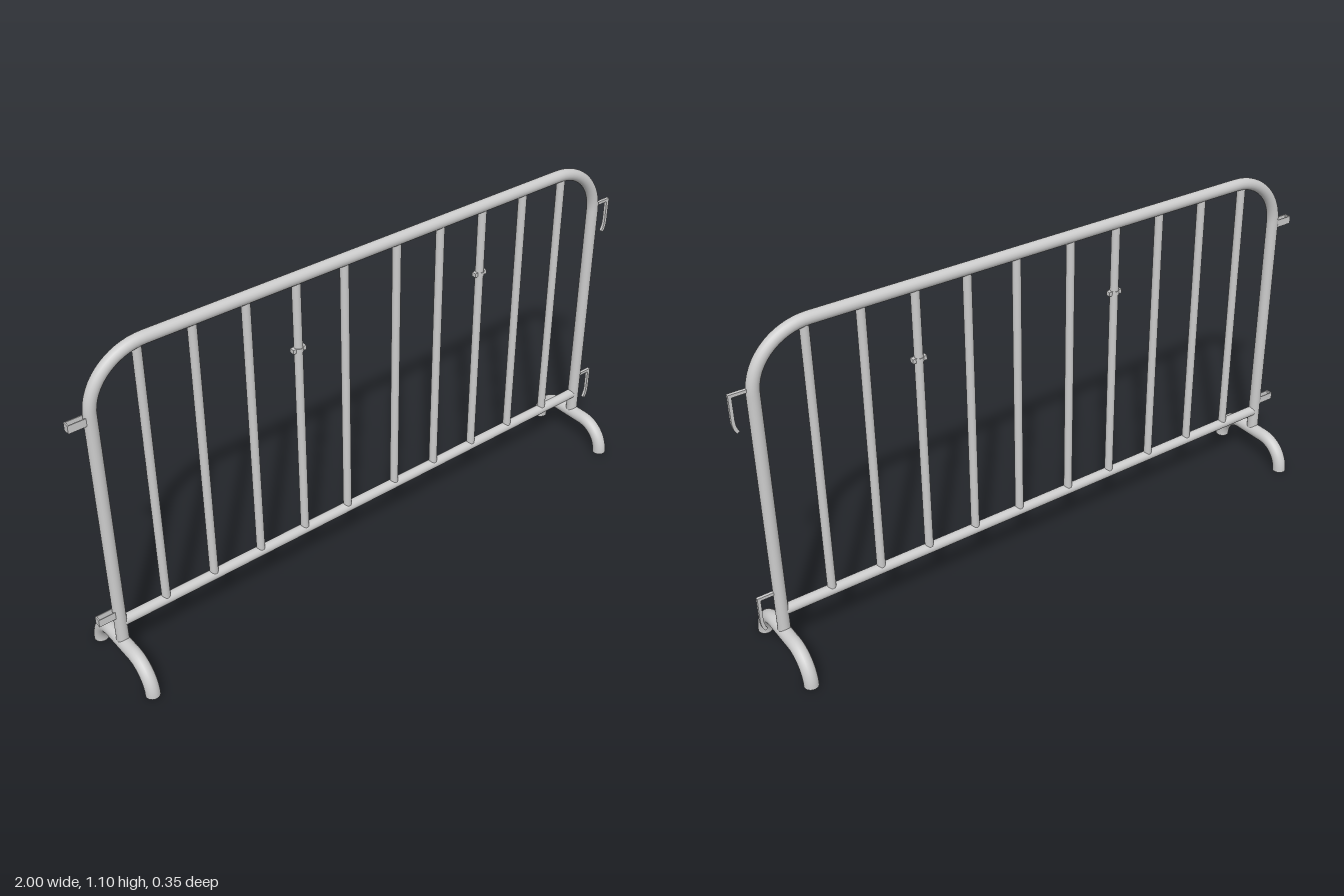
import * as THREE from 'three';

const material = new THREE.MeshStandardMaterial({ color: 0xcccccc });
const openMaterial = new THREE.MeshStandardMaterial({ color: 0xcccccc, side: THREE.DoubleSide });
const POST_X = 0.93;

function add(parent, name, geometry, x = 0, y = 0, z = 0, mat = material) {
  const mesh = new THREE.Mesh(geometry, mat);
  mesh.name = name;
  mesh.position.set(x, y, z);
  parent.add(mesh);
  return mesh;
}

// Inverted U path with rounded corners, in the XY plane
function archPath(half, bottom, top, cornerX, cornerY) {
  const v = (x, y) => new THREE.Vector3(x, y, 0);
  const k = 1 - 0.5523;
  const path = new THREE.CurvePath();
  const inner = half - cornerX, shoulder = top - cornerY;
  if (shoulder > bottom) path.add(new THREE.LineCurve3(v(-half, bottom), v(-half, shoulder)));
  path.add(new THREE.CubicBezierCurve3(v(-half, shoulder), v(-half, top - cornerY * k),
    v(-half + cornerX * k, top), v(-inner, top)));
  path.add(new THREE.LineCurve3(v(-inner, top), v(inner, top)));
  path.add(new THREE.CubicBezierCurve3(v(inner, top), v(half - cornerX * k, top),
    v(half, top - cornerY * k), v(half, shoulder)));
  if (shoulder > bottom) path.add(new THREE.LineCurve3(v(half, shoulder), v(half, bottom)));
  return path;
}

export function createModel() {
  const barrier = new THREE.Group();
  barrier.name = 'crowdBarrier';

  // Main bent tube: both posts and the top rail
  add(barrier, 'outerFrame',
    new THREE.TubeGeometry(archPath(POST_X, 0.1, 1.077, 0.18, 0.17), 200, 0.0192, 20), 0, 0, 0, openMaterial);

  // Bottom rail
  add(barrier, 'bottomRail', new THREE.CylinderGeometry(0.017, 0.017, POST_X * 2, 20), 0, 0.175, 0)
    .rotation.z = Math.PI / 2;

  // Upright infill bars
  const barXs = [-0.775, -0.607, -0.436, -0.268, -0.099, 0.094, 0.262, 0.431, 0.6, 0.767];
  for (const x of barXs) {
    add(barrier, 'infillBar', new THREE.CylinderGeometry(0.0135, 0.0135, 0.9, 16), x, 0.625, 0);
  }

  // Small sign clips: a collar with an ear on each side
  for (const x of [barXs[3], barXs[7]]) {
    add(barrier, 'clipCollar', new THREE.CylinderGeometry(0.0155, 0.0155, 0.014, 16), x, 0.845, 0);
    for (const s of [-1, 1]) {
      add(barrier, 'clipEar', new THREE.BoxGeometry(0.011, 0.014, 0.016), x + s * 0.0175, 0.845, 0);
    }
  }

  // Arched feet with flat end caps
  const footPath = archPath(0.149, 0, 0.095, 0.092, 0.095);
  for (const s of [-1, 1]) {
    const foot = new THREE.Group();
    foot.name = 'foot';
    foot.position.x = s * POST_X;
    foot.rotation.y = Math.PI / 2;
    add(foot, 'footTube', new THREE.TubeGeometry(footPath, 48, 0.0225, 20));
    for (const e of [-1, 1]) {
      add(foot, 'footEnd', new THREE.CircleGeometry(0.0225, 20), e * 0.149, 0, 0).rotation.x = Math.PI / 2;
    }
    barrier.add(foot);
  }

  // Coupling eyes: flat bar loops on the right post
  const eye = new THREE.Shape();
  eye.moveTo(-0.935, -0.011).lineTo(-1, -0.011).lineTo(-1, 0.011).lineTo(-0.935, 0.011);
  eye.closePath();
  const hole = new THREE.Path();
  hole.moveTo(-0.938, -0.008).lineTo(-0.938, 0.008).lineTo(-0.996, 0.008).lineTo(-0.996, -0.008);
  hole.closePath();
  eye.holes.push(hole);
  const eyeGeometry = new THREE.ExtrudeGeometry(eye, { depth: 0.025, bevelEnabled: false });
  eyeGeometry.rotateX(-Math.PI / 2);
  for (const y of [0.886, 0.203]) add(barrier, 'couplingEye', eyeGeometry, 0, y, -0.001);

  // Coupling hooks: bent flat strips on the left post
  const hook = new THREE.Shape();
  hook.moveTo(0.935, 0).lineTo(1, 0).lineTo(1, -0.075);
  hook.quadraticCurveTo(1, -0.108, 0.988, -0.121);
  hook.lineTo(0.98, -0.116);
  hook.quadraticCurveTo(0.99, -0.1, 0.99, -0.075);
  hook.lineTo(0.99, -0.01).lineTo(0.935, -0.01);
  hook.closePath();
  const hookGeometry = new THREE.ExtrudeGeometry(hook, { depth: 0.01, bevelEnabled: false, curveSegments: 6 });
  for (const y of [0.928, 0.252]) add(barrier, 'couplingHook', hookGeometry, 0, y, -0.003);

  // The barrier stands very slightly turned
  barrier.rotation.y = -0.0043;
  const model = new THREE.Group();
  model.name = 'model';
  model.add(barrier);
  return model;
}
